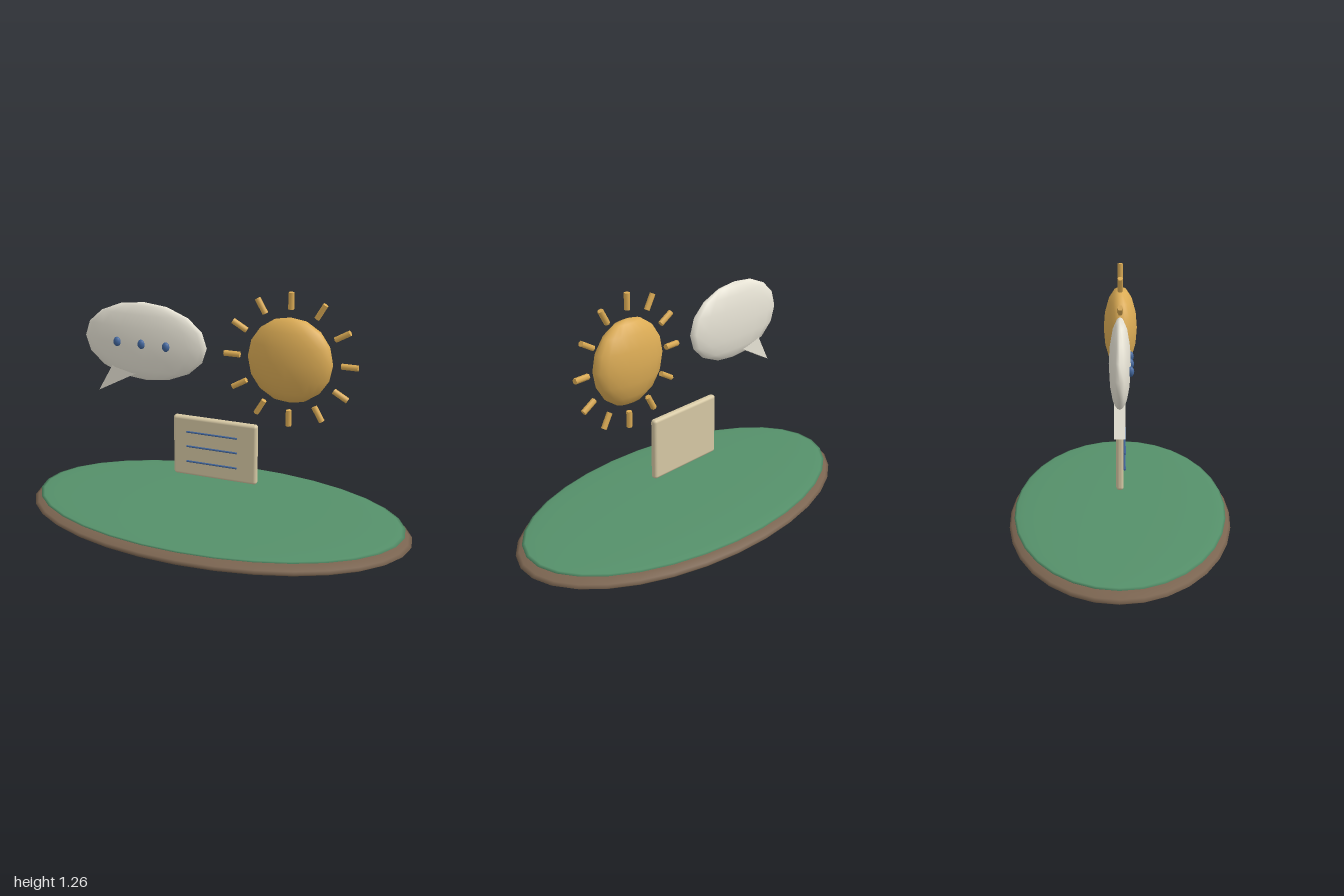
import * as THREE from 'three';
import { RoundedBoxGeometry } from 'three/addons/geometries/RoundedBoxGeometry.js';

const mat = (color) => new THREE.MeshStandardMaterial({ color });
const brown = mat(0x7a6450), green = mat(0x55906a), gold = mat(0xdcac55);
const cream = mat(0xe8e4d6), paper = mat(0xd6c8a4), blue = mat(0x42669c);

function add(parent, name, geometry, material, x = 0, y = 0, z = 0) {
  const mesh = new THREE.Mesh(geometry, material);
  mesh.name = name;
  mesh.position.set(x, y, z);
  parent.add(mesh);
  return mesh;
}

// Sphere stretched to the given radii
const ellipsoid = (rx, ry, rz, w, h) => new THREE.SphereGeometry(1, w, h).scale(rx, ry, rz);

function group(parent, name, x, y) {
  const g = new THREE.Group();
  g.name = name;
  g.position.set(x, y, 0);
  parent.add(g);
  return g;
}

export function createModel() {
  const model = new THREE.Group();
  model.name = 'islandScene';

  // Island: earth disc with a thin grass disc on top
  add(model, 'earth', ellipsoid(1, 0.06, 0.55, 32, 16), brown, 0, 0.06);
  add(model, 'grass', ellipsoid(0.965, 0.02, 0.525, 32, 16), green, 0, 0.105);

  // Speech bubble with tail and three dots
  const bubble = group(model, 'speechBubble', -0.375, 0.94);
  add(bubble, 'bubbleBody', ellipsoid(0.325, 0.2, 0.05, 16, 8), cream);
  const tail = new THREE.Shape([[-0.25, -0.275], [0, -0.14], [-0.155, -0.105]]
    .map(([x, y]) => new THREE.Vector2(x, y)));
  add(bubble, 'bubbleTail', new THREE.ExtrudeGeometry(tail, { depth: 0.05, bevelEnabled: false }),
    cream, 0, 0, -0.025);
  for (const x of [-0.13, 0, 0.13]) {
    add(bubble, 'bubbleDot', ellipsoid(0.019, 0.024, 0.016, 12, 8), blue, x, 0, 0.048);
  }

  // Sun with twelve hexagonal rays
  const sun = group(model, 'sun', 0.37, 0.93);
  add(sun, 'sunDisc', ellipsoid(0.21, 0.21, 0.085, 20, 8), gold);
  const rayGeometry = new THREE.CylinderGeometry(0.0145, 0.0145, 0.08, 6);
  for (let i = 0; i < 12; i++) {
    const a = (i * Math.PI) / 6;
    const ray = add(sun, 'sunRay', rayGeometry, gold, Math.cos(a) * 0.29, Math.sin(a) * 0.29);
    ray.rotation.z = a - Math.PI / 2;
  }

  // Note card with three written lines
  const card = group(model, 'noteCard', -0.005, 0.423);
  add(card, 'cardSheet', new RoundedBoxGeometry(0.44, 0.315, 0.036, 3, 0.015), paper);
  const lineGeometry = new THREE.CylinderGeometry(0.005, 0.005, 0.265, 8).rotateZ(Math.PI / 2);
  for (const y of [0.08, 0.003, -0.078]) {
    add(card, 'cardLine', lineGeometry, blue, -0.013, y, 0.023);
  }

  return model;
}
